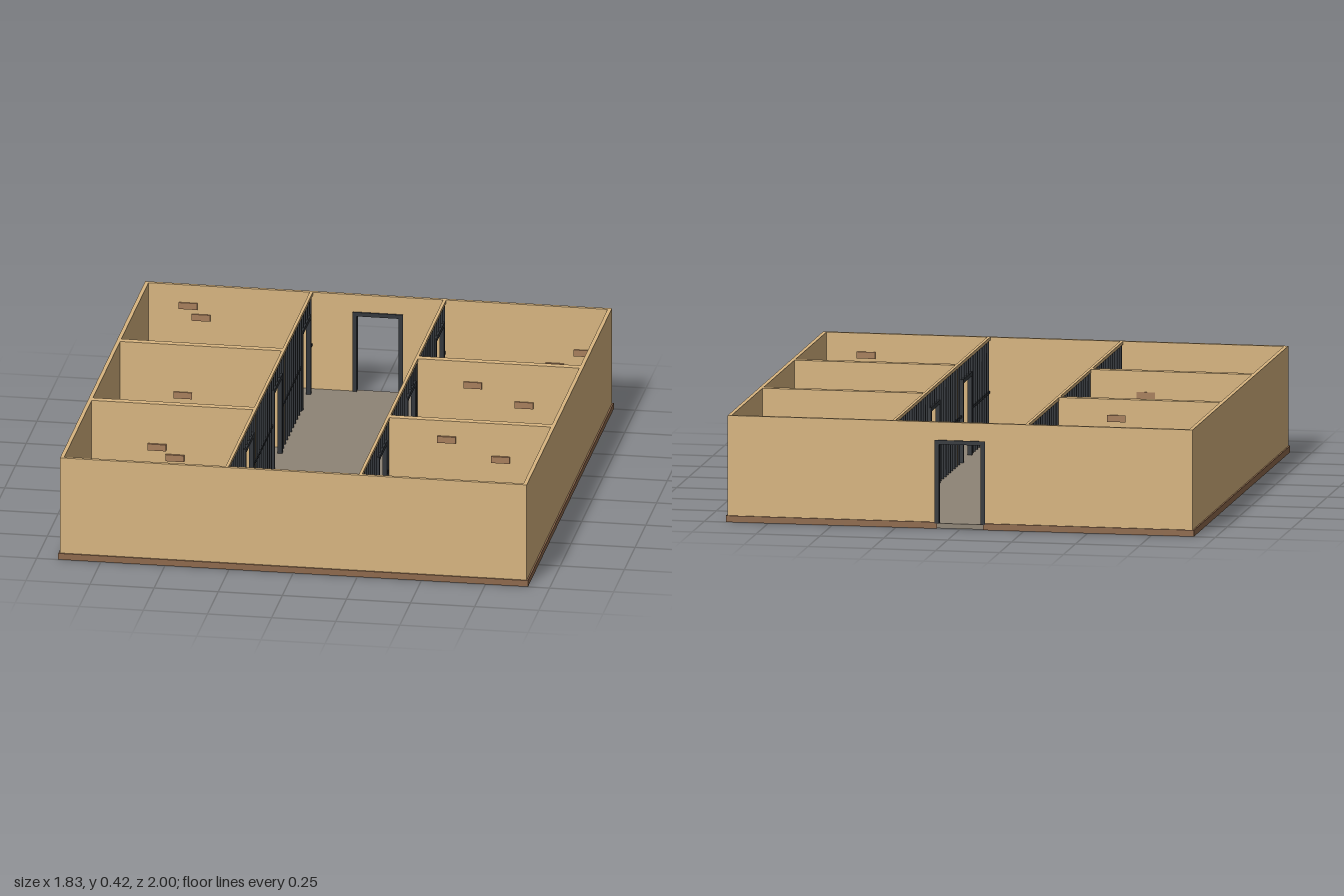
import * as THREE from 'three';

const material = (color) => new THREE.MeshStandardMaterial({ color });

export function createModel() {
  const model = new THREE.Group();
  const wallMat = material(0xd8b580);
  const floorMat = material(0x8e8476);
  const trimMat = material(0x8f6a4d);
  const brickMat = material(0xa87f5c);
  const metalMat = material(0x33373c);

  const group = (name) => {
    const g = new THREE.Group();
    g.name = name;
    model.add(g);
    return g;
  };
  // Box given by its minimum and maximum corners
  const box = (parent, name, mat, [x0, y0, z0], [x1, y1, z1]) => {
    const mesh = new THREE.Mesh(new THREE.BoxGeometry(x1 - x0, y1 - y0, z1 - z0), mat);
    mesh.position.set((x0 + x1) / 2, (y0 + y1) / 2, (z0 + z1) / 2);
    mesh.name = name;
    parent.add(mesh);
    return mesh;
  };

  const H = 0.415, X = 0.91, Z = 0.993, T = 0.015, FLOOR = 0.02;
  const ROW = 0.26, DOOR_H = 0.345, DOOR_W = 0.09;
  const partitionZ = [-0.333, 0.329];
  const doorZ = [-0.83, -0.165, 0.5];

  // Floor slab
  box(model, 'floor', floorMat, [-X, 0.001, -Z], [X, FLOOR, Z]);

  // Outer walls, the back one with a doorway
  const walls = group('outerWalls');
  box(walls, 'frontWall', wallMat, [-X, 0.002, Z - T], [X, H, Z]);
  for (const s of [-1, 1]) {
    box(walls, s > 0 ? 'leftWall' : 'rightWall', wallMat,
      [s * (X - T / 2) - T / 2, 0.002, -Z + T], [s * (X - T / 2) + T / 2, H, Z - T]);
  }
  const outline = new THREE.Shape([
    [-X, 0.002], [-DOOR_W, 0.002], [-DOOR_W, DOOR_H], [DOOR_W, DOOR_H],
    [DOOR_W, 0.002], [X, 0.002], [X, H], [-X, H],
  ].map(([x, y]) => new THREE.Vector2(x, y)));
  const backWall = new THREE.Mesh(
    new THREE.ExtrudeGeometry(outline, { depth: T, bevelEnabled: false }), wallMat);
  backWall.position.z = -Z;
  backWall.name = 'backWall';
  walls.add(backWall);

  // Base trim around the outside, interrupted at the doorway
  const trim = group('baseTrim');
  const P = 0.006;
  box(trim, 'frontTrim', trimMat, [-X - P, 0, Z], [X + P, 0.025, Z + P]);
  for (const s of [-1, 1]) {
    const xs = [s * X, s * (X + P)].sort((a, b) => a - b);
    box(trim, 'sideTrim', trimMat, [xs[0], 0, -Z], [xs[1], 0.025, Z]);
    const bs = [s * DOOR_W, s * (X + P)].sort((a, b) => a - b);
    box(trim, 'backTrim', trimMat, [bs[0], 0, -Z - P], [bs[1], 0.025, -Z]);
  }

  // Walls between the cells
  const partitions = group('partitionWalls');
  for (const z of partitionZ) for (const s of [-1, 1]) {
    const xs = [s * ROW, s * (X - T)].sort((a, b) => a - b);
    box(partitions, 'partitionWall', wallMat, [xs[0], 0, z - 0.015], [xs[1], H, z + 0.015]);
  }

  // Door frame of two posts and a lintel, in the local xy plane
  const doorFrame = (name, depth) => {
    const g = group(name);
    const d = depth / 2, w = 0.016, o = DOOR_W + 0.008;
    box(g, 'post', metalMat, [-o, FLOOR, -d], [-o + w, DOOR_H, d]);
    box(g, 'post', metalMat, [o - w, FLOOR, -d], [o, DOOR_H, d]);
    box(g, 'lintel', metalMat, [-o + w, DOOR_H - w, -d], [o - w, DOOR_H, d]);
    return g;
  };
  doorFrame('entranceFrame', 0.028).position.z = -Z + T / 2;

  // Barred cell fronts with an open door to each cell
  const RAIL = H - 0.012;
  const bar = (parent, x, z, y0) => {
    const mesh = new THREE.Mesh(
      new THREE.CylinderGeometry(0.0055, 0.0055, RAIL - y0, 8), metalMat);
    mesh.position.set(x, (RAIL + y0) / 2, z);
    mesh.name = 'bar';
    parent.add(mesh);
  };
  const cellEdges = [-Z + T, ...partitionZ, Z - T];
  for (const s of [-1, 1]) {
    const x = s * ROW;
    const front = group(s > 0 ? 'leftCellFronts' : 'rightCellFronts');
    box(front, 'topRail', wallMat, [x - 0.006, RAIL, -Z + T], [x + 0.006, H + 0.0005, Z - T]);
    doorZ.forEach((dz, i) => {
      const frame = doorFrame('cellDoorFrame', 0.018);
      frame.position.set(x, 0, dz);
      frame.rotation.y = Math.PI / 2;
      const z0 = cellEdges[i], z1 = cellEdges[i + 1], n = 14;
      for (let k = 0; k < n; k++) {
        const z = z0 + ((k + 0.5) * (z1 - z0)) / n;
        bar(front, x, z, Math.abs(z - dz) < DOOR_W + 0.012 ? DOOR_H : FLOOR);
      }
      // Middle rails on both sides of the door
      for (const [a, b] of [[z0, dz - DOOR_W], [dz + DOOR_W, z1]]) {
        box(front, 'middleRail', metalMat, [x - 0.004, 0.195, a], [x + 0.004, 0.205, b]);
      }
    });
  }

  // Raised bricks; each is repeated half a turn around the block
  const bricks = group('raisedBricks');
  const brick = (x, y, z, alongZ) => {
    const w = alongZ ? 0.006 : 0.036, d = alongZ ? 0.036 : 0.006;
    for (const s of [-1, 1]) {
      box(bricks, 'brick', brickMat,
        [s * x - w, y - 0.013, s * z - d], [s * x + w, y + 0.013, s * z + d]);
    }
  };
  const onBack = [[-0.74, 0.33], [-0.69, 0.285], [-0.41, 0.15], [0.36, 0.13],
    [0.41, 0.095], [0.69, 0.17], [0.8, 0.23]];
  const facingFront = [[-0.65, 0.21], [-0.59, 0.165], [-0.41, 0.1], [0.43, 0.1],
    [0.48, 0.32], [0.68, 0.25]];
  const facingBack = [[-0.7, 0.27], [-0.49, 0.34], [-0.43, 0.1], [0.57, 0.2], [0.64, 0.24]];
  onBack.forEach(([x, y]) => brick(x, y, -Z + T));
  facingFront.forEach(([x, y]) => brick(x, y, partitionZ[0] + 0.015));
  facingBack.forEach(([x, y]) => brick(x, y, partitionZ[0] - 0.015));
  [[-0.64, 0.25], [-0.51, 0.19], [-0.14, 0.19], [0.04, 0.27], [0.48, 0.19], [0.7, 0.12]]
    .forEach(([z, y]) => brick(-X + T, y, z, true));

  return model;
}
